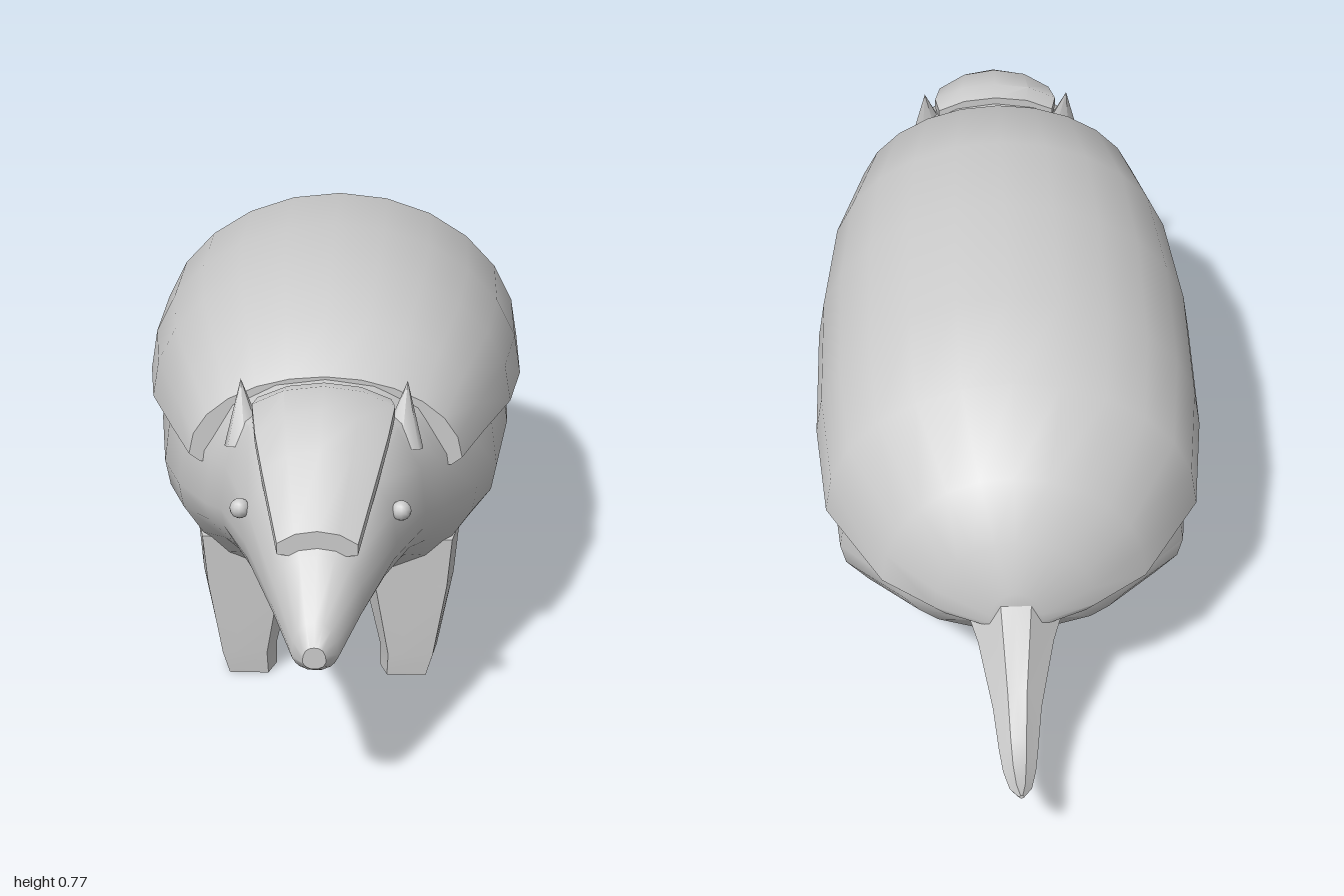
import * as THREE from 'three';
import { toCreasedNormals } from 'three/addons/utils/BufferGeometryUtils.js';

const material = new THREE.MeshStandardMaterial({ color: 0xcccccc });

// Skins a list of closed rings (arrays of [x, y, z]) and caps both ends.
function loft(rings, crease) {
  const n = rings[0].length, index = [];
  const points = rings.flat();
  const centre = ring => [0, 1, 2].map(k => ring.reduce((sum, p) => sum + p[k], 0) / n);
  for (let i = 0; i < rings.length - 1; i++) {
    for (let j = 0; j < n; j++) {
      const a = i * n + j, b = i * n + (j + 1) % n;
      index.push(a, a + n, b, b, a + n, b + n);
    }
  }
  const first = points.length, back = (rings.length - 1) * n;
  points.push(centre(rings[0]), centre(rings[rings.length - 1]));
  for (let j = 0; j < n; j++) {
    const k = (j + 1) % n;
    index.push(first, j, k, first + 1, back + k, back + j);
  }
  const geometry = new THREE.BufferGeometry();
  geometry.setAttribute('position', new THREE.Float32BufferAttribute(points.flat(), 3));
  geometry.setIndex(index);
  return toCreasedNormals(geometry, crease);
}

// Mirrors a half outline, given from bottom centre to top centre, into a ring at z.
function mirrorRing(half, z) {
  const right = half.map(([x, y]) => [x, y, z]);
  const left = half.slice(1, -1).reverse().map(([x, y]) => [-x, y, z]);
  return [...right, ...left];
}

// Body outline: heights below 0 run from middle to belly, above 0 from middle to back.
const BODY = [[0, -1], [0.3, -0.98], [0.68, -0.75], [0.84, -0.53], [0.97, -0.25], [1, 0],
  [0.95, 0.4], [0.72, 0.78], [0.38, 0.95], [0, 1]];
const bodyRing = ([z, low, mid, high, w]) => mirrorRing(
  BODY.map(([x, t]) => [x * w, mid + t * (t < 0 ? mid - low : high - mid)]), z);

// Shell outline: a small lip below the rim, then an elliptical arch.
function shellRing([z, w, rim, top]) {
  const half = [[0, rim], [w - Math.min(0.02, w / 3), rim - 0.015]];
  for (let i = 0; i <= 6; i++) {
    const a = i / 6 * Math.PI / 2;
    half.push([i === 6 ? 0 : w * Math.cos(a), rim + (top - rim) * Math.sin(a)]);
  }
  return mirrorRing(half, z);
}

export function createModel() {
  const model = new THREE.Group();
  const add = (name, geometry) => {
    const mesh = new THREE.Mesh(geometry, material);
    mesh.name = name;
    model.add(mesh);
    return mesh;
  };

  // Head and body in one skin: z, belly, middle, back, half width
  add('body', loft([
    [1.0, 0.32, 0.335, 0.36, 0.02],
    [0.975, 0.305, 0.335, 0.395, 0.04],
    [0.88, 0.315, 0.385, 0.475, 0.08],
    [0.75, 0.315, 0.44, 0.59, 0.135],
    [0.62, 0.305, 0.44, 0.652, 0.185],
    [0.55, 0.29, 0.42, 0.65, 0.22],
    [0.42, 0.21, 0.4, 0.67, 0.28],
    [0.27, 0.18, 0.38, 0.7, 0.32],
    [0.05, 0.2, 0.38, 0.7, 0.345],
    [-0.25, 0.185, 0.36, 0.68, 0.35],
    [-0.48, 0.17, 0.33, 0.61, 0.325],
    [-0.62, 0.24, 0.35, 0.5, 0.21],
    [-0.67, 0.3, 0.34, 0.4, 0.1],
  ].map(bodyRing), 0.6));

  // Shell: z, half width, rim, top
  add('shell', loft([
    [0.52, 0.25, 0.505, 0.66],
    [0.42, 0.29, 0.515, 0.735],
    [0.22, 0.345, 0.495, 0.775],
    [0, 0.37, 0.465, 0.775],
    [-0.27, 0.37, 0.44, 0.75],
    [-0.45, 0.35, 0.395, 0.69],
    [-0.6, 0.245, 0.35, 0.59],
    [-0.66, 0.15, 0.335, 0.49],
    [-0.7, 0.05, 0.33, 0.4],
  ].map(shellRing), 0.7));

  // Forehead plate: z, half width, edge height, centre height
  add('headPlate', loft([
    [0.87, 0.07, 0.492, 0.516],
    [0.75, 0.102, 0.575, 0.618],
    [0.68, 0.118, 0.615, 0.66],
    [0.6, 0.128, 0.638, 0.674],
    [0.56, 0.12, 0.635, 0.665],
  ].map(([z, w, edge, top]) => mirrorRing([[0, edge - 0.03], [w, edge - 0.02], [w, edge],
    [w * 0.55, edge + (top - edge) * 0.75], [0, top]], z)), 0.6));

  // Tail: z, bottom, top, half width
  add('tail', loft([
    [-0.63, 0.24, 0.44, 0.1],
    [-0.7, 0.195, 0.37, 0.07],
    [-0.78, 0.145, 0.235, 0.045],
    [-0.85, 0.124, 0.182, 0.036],
    [-0.9, 0.13, 0.167, 0.03],
    [-0.96, 0.155, 0.178, 0.02],
    [-1, 0.184, 0.192, 0.005],
  ].map(([z, low, high, w]) => mirrorRing([[0, low], [w * 0.75, low + (high - low) * 0.2],
    [w, low + (high - low) * 0.5], [w * 0.4, high], [0, high]], z)), 0.6));

  // Six-sided tapering leg from blocks of y, inner x, outer x, back z, front z
  const leg = (name, side, blocks) => add(name, loft(blocks.map(([y, x0, x1, z0, z1]) => {
    const mid = (z0 + z1) / 2, inset = (x1 - x0) * 0.15;
    const ring = [[x0 + inset, z1], [x1 - inset * 0.5, z1], [x1, mid], [x1 - inset, z0],
      [x0 + inset, z0], [x0, mid]].map(([x, z]) => [x * side, y, z]);
    return side > 0 ? ring : ring.reverse();
  }), 0.3));

  for (const side of [1, -1]) {
    const label = side > 0 ? 'left' : 'right';
    leg(label + 'FrontLeg', side, [
      [0.3, 0.06, 0.25, 0.27, 0.44],
      [0.2, 0.065, 0.24, 0.3, 0.435],
      [0.05, 0.1, 0.21, 0.33, 0.43],
      [0.004, 0.1, 0.196, 0.335, 0.425],
    ]);
    leg(label + 'BackLeg', side, [
      [0.27, 0.04, 0.24, -0.4, -0.2],
      [0.18, 0.055, 0.2, -0.37, -0.23],
      [0.05, 0.075, 0.165, -0.34, -0.265],
      [0.03, 0.07, 0.16, -0.335, -0.265],
    ]);

    // Eye
    const eye = add(label + 'Eye', new THREE.SphereGeometry(0.018, 12, 8));
    eye.position.set(side * 0.142, 0.498, 0.74);

    // Small pointed ear, flattened front to back
    const ear = add(label + 'Ear', new THREE.ConeGeometry(0.04, 0.12, 7));
    ear.scale.z = 0.7;
    ear.position.set(side * 0.145, 0.615, 0.58);
    ear.rotation.set(-0.25, 0, -side * 0.08);
  }
  return model;
}
